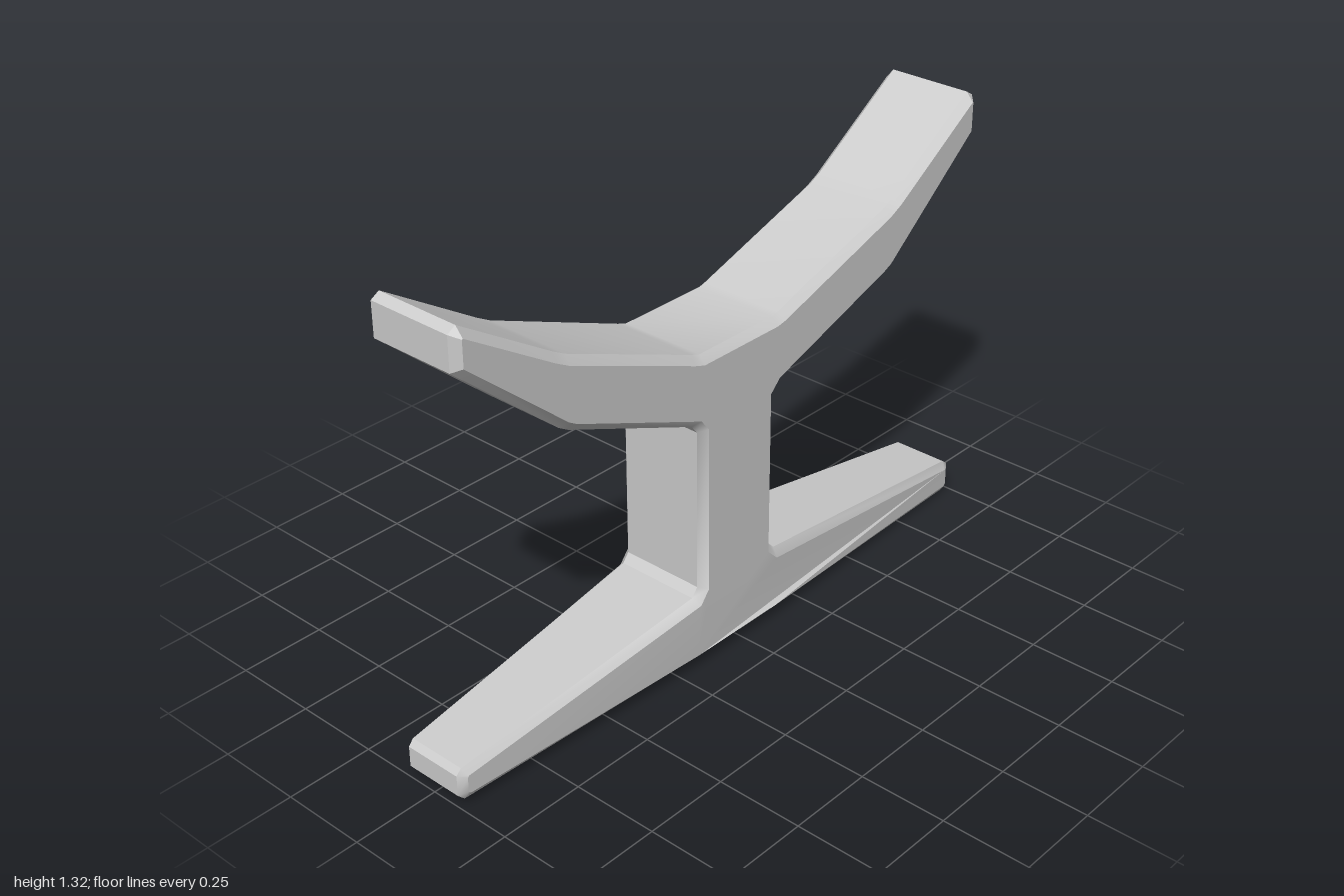
import * as THREE from 'three';
import { toCreasedNormals } from 'three/addons/utils/BufferGeometryUtils.js';

const HALF = 0.147;   // half depth of the body
const BEVEL = 0.022;  // chamfer along every edge

// Outline, counter-clockwise from the underside of the right foot
const outline = [
  // right foot
  [0.13, 0.022], [0.98, 0], [1, 0.02], [1, 0.085], [0.98, 0.1], [0.14, 0.22],
  // right side of the post
  [0.115, 0.245], [0.115, 0.715], [0.14, 0.74],
  // right arm
  [0.57, 0.888], [0.6, 0.902], [0.95, 1.19], [0.95, 1.295], [0.925, 1.31], [0.61, 1.102], [0.57, 1.082],
  // saddle between the arms
  [0.14, 0.94], [0.115, 0.935], [-0.16, 0.935], [-0.19, 0.945],
  // left arm
  [-0.62, 1.12], [-0.66, 1.142], [-0.945, 1.32], [-0.97, 1.305], [-0.97, 1.21], [-0.65, 0.936], [-0.62, 0.918],
  // left side of the post
  [-0.19, 0.74], [-0.17, 0.715], [-0.17, 0.245], [-0.19, 0.22],
  // left foot
  [-0.985, 0.112], [-1, 0.095], [-1, 0.035], [-0.98, 0.015], [-0.19, 0.022],
];

export function createModel() {
  const shape = new THREE.Shape(outline.map(([x, y]) => new THREE.Vector2(x, y)));
  const depth = 2 * (HALF - BEVEL);
  const geometry = new THREE.ExtrudeGeometry(shape, {
    depth,
    bevelEnabled: true,
    bevelThickness: BEVEL,
    bevelSize: BEVEL,
    bevelOffset: -BEVEL,
    bevelSegments: 1,
  });
  geometry.translate(0, 0, -depth / 2);

  // The feet narrow in depth from the post to their tips
  const p = geometry.attributes.position;
  for (let i = 0; i < p.count; i++) {
    if (p.getY(i) > 0.4) continue;
    const t = Math.max(0, (Math.abs(p.getX(i) + 0.03) - 0.16) / 0.84);
    p.setZ(i, p.getZ(i) * (1 - 0.32 * t));
  }

  const material = new THREE.MeshStandardMaterial({ color: 0xcccccc });
  const stand = new THREE.Mesh(toCreasedNormals(geometry, 0.5), material);
  stand.name = 'cradleStand';

  const group = new THREE.Group();
  group.name = 'stand';
  group.add(stand);
  return group;
}
